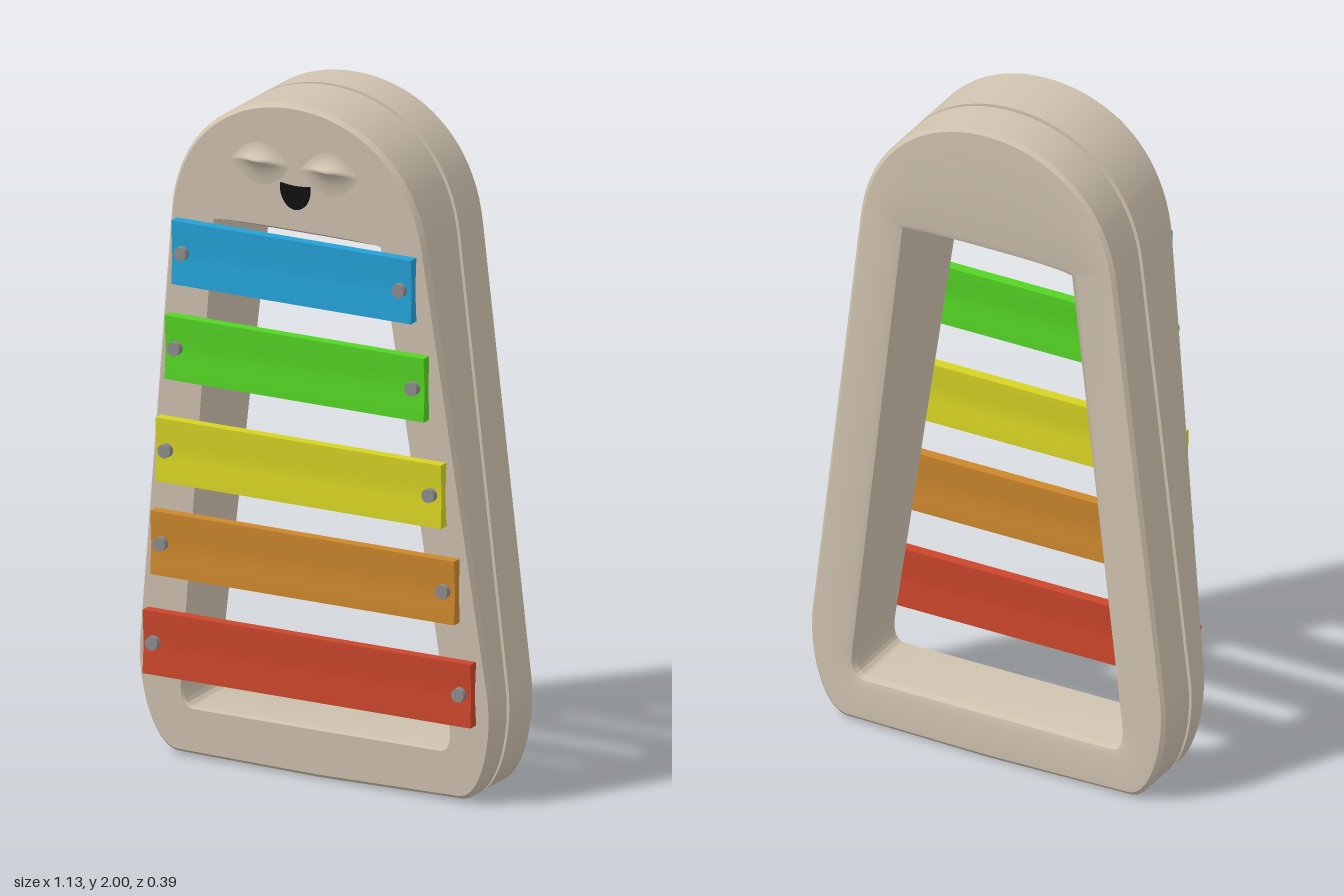
import * as THREE from 'three';
import { toCreasedNormals } from 'three/addons/utils/BufferGeometryUtils.js';

const material = (name, color) => {
  const m = new THREE.MeshStandardMaterial({ color });
  m.name = name;
  return m;
};

// Sloping front of the body
const frontZ = (y) => 0.03 + 0.072 * y;

// Closed counterclockwise loop mirrored from a right half drawn bottom to top
function mirroredLoop(draw) {
  const path = new THREE.Path();
  draw(path);
  const half = path.getPoints(20);
  const other = half.slice(1, -1).reverse().map((p) => new THREE.Vector2(-p.x, p.y));
  return half.concat(other);
}

// Frame lofted between the outer outline and the hole
function frameGeometry() {
  const outer = mirroredLoop((p) => {
    p.moveTo(0, 0);
    p.lineTo(0.45, 0.008);
    p.bezierCurveTo(0.53, 0.01, 0.58, 0.2, 0.557, 0.35);
    p.lineTo(0.407, 1.62);
    p.bezierCurveTo(0.38, 1.87, 0.2, 2, 0, 2);
  });
  const hole = mirroredLoop((p) => {
    p.moveTo(0, 0.15);
    p.lineTo(0.385, 0.15);
    p.bezierCurveTo(0.415, 0.15, 0.425, 0.175, 0.422, 0.22);
    p.lineTo(0.26, 1.62);
    p.bezierCurveTo(0.18, 1.622, 0.09, 1.622, 0, 1.622);
  });
  // Cross-section: distance in from the outer edge (or from the hole), and depth
  const section = [
    { fromHole: 0, z: (y) => frontZ(y) - 0.006 },
    { fromHole: 0.006, z: frontZ },
    { d: 0.012, z: frontZ },
    { d: 0, z: (y) => frontZ(y) - 0.015 },
    { d: 0, z: () => -0.035 },
    { d: 0.014, z: () => -0.035 },
    { d: 0.014, z: () => -0.05 },
    { d: 0, z: () => -0.05 },
    { d: 0, z: () => -0.18 },
    { d: 0.012, z: () => -0.19 },
    { fromHole: 0.03, z: () => -0.195 },
    { fromHole: 0.01, z: () => -0.19 },
    { fromHole: 0, z: () => -0.175 },
  ];
  const n = outer.length, m = section.length;
  const positions = [], index = [];
  for (const s of section) {
    for (let i = 0; i < n; i++) {
      const len = outer[i].distanceTo(hole[i]);
      const t = s.d !== undefined ? s.d / len : 1 - s.fromHole / len;
      const p = outer[i].clone().lerp(hole[i], t);
      positions.push(p.x, p.y, s.z(p.y));
    }
  }
  for (let j = 0; j < m; j++) {
    const k = (j + 1) % m;
    for (let i = 0; i < n; i++) {
      const r = (i + 1) % n;
      const a = j * n + i, b = k * n + i, c = k * n + r, d = j * n + r;
      index.push(a, b, c, a, c, d);
    }
  }
  const g = new THREE.BufferGeometry();
  g.setAttribute('position', new THREE.Float32BufferAttribute(positions, 3));
  g.setIndex(index);
  return toCreasedNormals(g, 0.55);
}

// Two raised closed eyes that fade into the front of the frame
function eyesGeometry() {
  const g = new THREE.PlaneGeometry(0.44, 0.2, 66, 40);
  g.translate(0, 1.815, 0);
  const p = g.attributes.position;
  for (let i = 0; i < p.count; i++) {
    const x = p.getX(i), y = p.getY(i);
    const dx = (Math.abs(x) - 0.11) / 0.06;
    const dy = y - (1.825 - 0.006 * dx * dx);
    const bump = 0.034 * Math.exp(-dx * dx) * Math.exp(-Math.abs(dy) / (dy > 0 ? 0.02 : 0.032));
    p.setZ(i, frontZ(y) - 0.003 + bump);
  }
  g.computeVertexNormals();
  return g;
}

// Thin open smiling mouth
function mouthGeometry() {
  const s = new THREE.Shape();
  s.moveTo(-0.046, 0.022);
  s.bezierCurveTo(-0.05, -0.01, -0.035, -0.05, 0, -0.052);
  s.bezierCurveTo(0.035, -0.05, 0.05, -0.01, 0.046, 0.022);
  s.quadraticCurveTo(0, 0.012, -0.046, 0.022);
  return new THREE.ExtrudeGeometry(s, { depth: 0.009, bevelEnabled: false, curveSegments: 10 });
}

// Bar with slightly dished faces
function barGeometry(width, height) {
  const thick = 0.032;
  const g = new THREE.BoxGeometry(width, height, thick, 1, 10, 1);
  const p = g.attributes.position;
  for (let i = 0; i < p.count; i++) {
    const dish = 0.005 * Math.cos((p.getY(i) / height) * Math.PI) ** 2;
    p.setZ(i, p.getZ(i) - Math.sign(p.getZ(i)) * dish);
  }
  return toCreasedNormals(g, 0.5);
}

export function createModel() {
  const model = new THREE.Group();
  model.name = 'toyXylophone';
  const beige = material('beige', 0xcfc2af);
  const grey = material('grey', 0x8c8c8c);
  const black = material('black', 0x111111);

  const add = (parent, name, geometry, mat, x = 0, y = 0, z = 0) => {
    const mesh = new THREE.Mesh(geometry, mat);
    mesh.name = name;
    mesh.position.set(x, y, z);
    parent.add(mesh);
    return mesh;
  };

  add(model, 'frame', frameGeometry(), beige);
  add(model, 'eyes', eyesGeometry(), beige);
  const mouth = add(model, 'mouth', mouthGeometry(), black, 0, 1.743, frontZ(1.743) - 0.001);
  mouth.rotation.x = Math.atan(0.072);

  // Sound bars: name, colour, centre height, depth, half width
  const bars = [
    ['red', 0xcb462b, 0.337, 0.08, 0.52],
    ['orange', 0xcb872c, 0.638, 0.104, 0.482],
    ['yellow', 0xd6d324, 0.92, 0.128, 0.453],
    ['green', 0x54d424, 1.23, 0.15, 0.411],
    ['blue', 0x24a1d6, 1.516, 0.168, 0.38],
  ];
  const pin = new THREE.CylinderGeometry(0.02, 0.02, 0.058, 16).rotateX(Math.PI / 2);
  for (const [name, color, y, z, half] of bars) {
    const bar = new THREE.Group();
    bar.name = name + 'Bar';
    bar.position.set(0, y, z);
    add(bar, name + 'Plate', barGeometry(2 * half, 0.185), material(name, color));
    for (const side of [-1, 1]) {
      add(bar, side > 0 ? 'leftPin' : 'rightPin', pin, grey, side * (half - 0.034), 0.002, 0.001);
    }
    model.add(bar);
  }
  return model;
}
